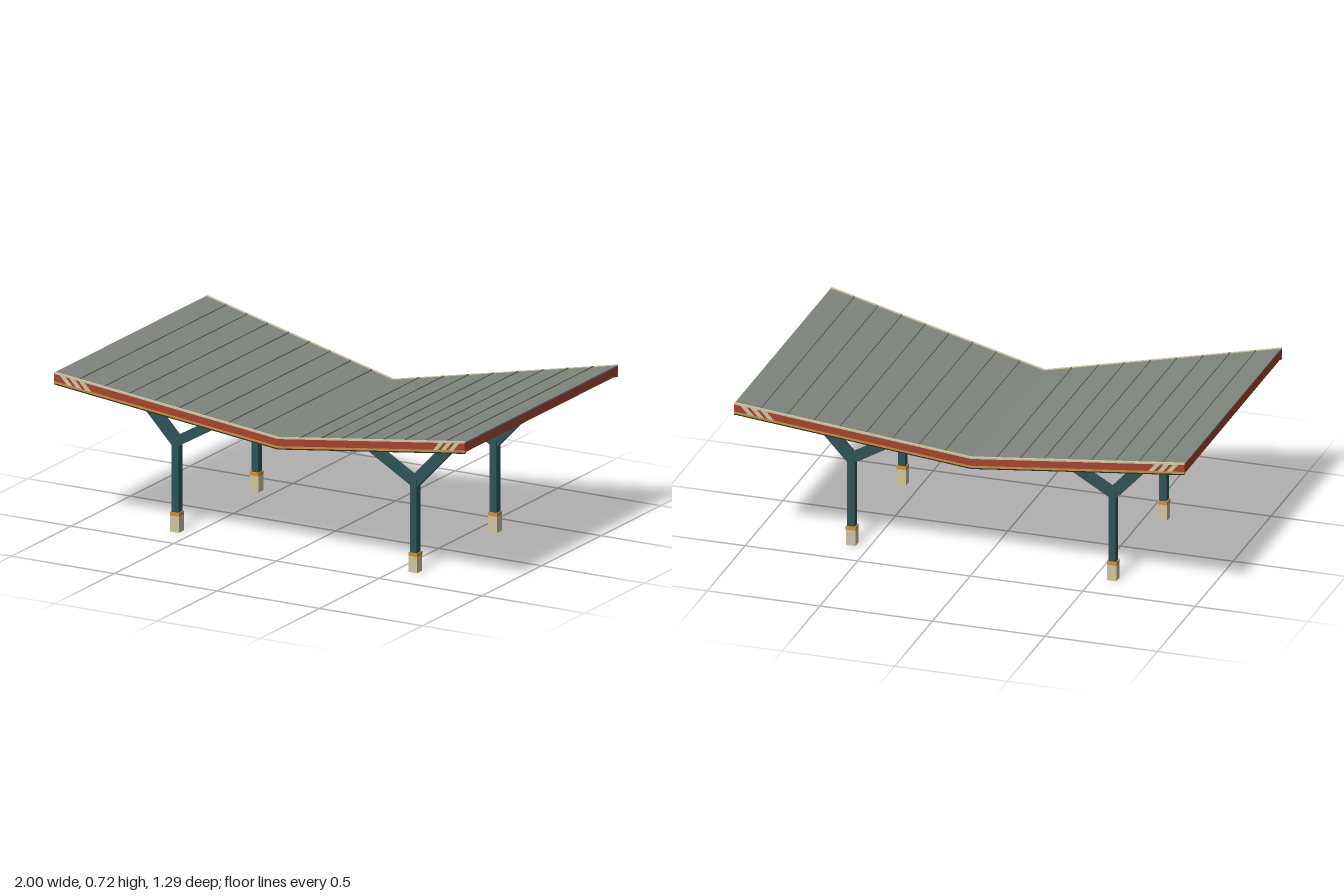
import * as THREE from 'three';

const mat = (name, color) => {
  const m = new THREE.MeshStandardMaterial({ color });
  m.name = name;
  return m;
};

export function createModel() {
  const roofGrey = mat('roofGrey', 0x7f867d);
  const soffitCream = mat('soffitCream', 0xcbc09f);
  const red = mat('fasciaRed', 0xa5442f);
  const cream = mat('cream', 0xcfc5a3);
  const gold = mat('gold', 0xcc9136);
  const teal = mat('steelTeal', 0x2f5356);
  const dark = mat('dripDark', 0x1c2e2f);
  const bowGrey = mat('bowGrey', 0x6b726d);

  const model = new THREE.Group();
  model.name = 'canopy';

  const SLOPE = 0.175;                       // rise of each wing
  const edge = (u) => 0.49 + 0.155 * u;      // half depth at distance u from the valley

  const add = (parent, name, geometry, material, x = 0, y = 0, z = 0) => {
    const mesh = new THREE.Mesh(geometry, material);
    mesh.name = name;
    mesh.position.set(x, y, z);
    parent.add(mesh);
    return mesh;
  };
  const box = (parent, name, material, w, h, d, x, y, z) =>
    add(parent, name, new THREE.BoxGeometry(w, h, d), material, x, y, z);

  // Six-sided solid from 8 corners, corner index = 4*i + 2*j + k; faces always turned outwards
  function hexa(c) {
    const quads = [[0, 1, 3, 2], [4, 6, 7, 5], [0, 4, 5, 1], [2, 3, 7, 6], [0, 2, 6, 4], [1, 5, 7, 3]];
    const [a, b, d, e] = [c[0], c[4], c[2], c[1]];
    const flip = b.clone().sub(a).cross(d.clone().sub(a)).dot(e.clone().sub(a)) < 0;
    const pos = [];
    for (const q of quads) {
      const r = flip ? [...q].reverse() : q;
      for (const n of [r[0], r[1], r[2], r[0], r[2], r[3]]) pos.push(...c[n].toArray());
    }
    const g = new THREE.BufferGeometry();
    g.setAttribute('position', new THREE.Float32BufferAttribute(pos, 3));
    g.computeVertexNormals();
    return g;
  }

  // Slab following the wing slope; z0 and z1 are functions of u, lean shifts the top edge outwards
  function slab(side, u0, u1, y0, y1, z0, z1, lean = 0) {
    const c = [];
    for (const u of [u0, u1]) for (const y of [y0, y1]) for (const z of [z0, z1]) {
      const v = y === y1 ? u + lean : u;
      c.push(new THREE.Vector3(side * v, y + SLOPE * v, z(v)));
    }
    return hexa(c);
  }

  // Square bar between two points in an x-y plane
  function bar(parent, name, material, x0, y0, x1, y1, thick, depth) {
    const len = Math.hypot(x1 - x0, y1 - y0);
    const m = box(parent, name, material, len, thick, depth, (x0 + x1) / 2, (y0 + y1) / 2, 0);
    m.rotation.z = Math.atan2(y1 - y0, x1 - x0);
  }

  function makeWing(side) {
    const wing = new THREE.Group();
    wing.name = side > 0 ? 'leftWing' : 'rightWing';
    model.add(wing);
    const inner = (u) => edge(u) - 0.012;
    const back = (u) => -inner(u);

    add(wing, 'soffit', slab(side, 0, 0.99, 0.506, 0.533, back, inner), soffitCream);
    add(wing, 'roofDeck', slab(side, 0, 1, 0.533, 0.539, back, inner), roofGrey);
    add(wing, 'endFascia', slab(side, 0.99, 1, 0.494, 0.533, back, inner), red);

    // Standing seams across the deck
    for (let i = 0; i < 8; i++) {
      const u = 0.115 + i * 0.111;
      add(wing, 'roofSeam', slab(side, u - 0.003, u + 0.003, 0.539, 0.544, back, inner), roofGrey);
    }

    // Layered fascia on the front and back edges
    const layers = [
      ['dripEdge', dark, 0.488, 0.493],
      ['goldStrip', gold, 0.493, 0.503],
      ['fascia', red, 0.503, 0.534],
      ['topTrim', cream, 0.534, 0.541],
    ];
    for (const s of [1, -1]) {
      for (const [name, m, y0, y1] of layers) {
        add(wing, name, slab(side, 0, 1, y0, y1, (u) => s * inner(u), (u) => s * edge(u)), m);
      }
      for (let i = 0; i < 3; i++) {
        const u = 0.832 + i * 0.042;
        add(wing, 'warningStripe', slab(side, u, u + 0.025, 0.503, 0.534,
          (v) => s * (edge(v) - 0.002), (v) => s * (edge(v) + 0.002), 0.03), cream);
      }
    }

    // Light fittings under the wing
    for (const u of [0.31, 0.845]) {
      add(wing, 'lightFitting',
        slab(side, u - 0.014, u + 0.014, 0.491, 0.507, () => -0.103, () => 0.103), teal);
    }
  }

  function makeFrame(side, z) {
    const frame = new THREE.Group();
    frame.name = 'supportFrame';
    frame.position.z = z;
    model.add(frame);
    const x = side * 0.58;

    box(frame, 'footing', cream, 0.042, 0.071, 0.042, x, 0.0355, 0);
    box(frame, 'footingCollar', gold, 0.043, 0.015, 0.043, x, 0.0785, 0);
    box(frame, 'column', teal, 0.033, 0.325, 0.033, x, 0.2475, 0);
    bar(frame, 'outerArm', teal, x, 0.395, side * 0.81, 0.64, 0.05, 0.027);
    bar(frame, 'innerArm', teal, x, 0.395, side * 0.31, 0.552, 0.043, 0.027);

    // Bowed beam under the roof, deepest over the column
    const yAt = (u) => 0.507 + SLOPE * u;
    const shape = new THREE.Shape();
    shape.moveTo(side * 0.13, yAt(0.13));
    shape.lineTo(side * 0.13, yAt(0.13) - 0.008);
    shape.quadraticCurveTo(side * 0.56, yAt(0.56) - 0.058, side * 0.95, yAt(0.95) - 0.008);
    shape.lineTo(side * 0.95, yAt(0.95));
    shape.closePath();
    add(frame, 'bowedBeam', new THREE.ExtrudeGeometry(shape,
      { depth: 0.026, bevelEnabled: false, curveSegments: 12 }), bowGrey, 0, 0, -0.013);
  }

  for (const side of [1, -1]) {
    makeWing(side);
    for (const z of [0.335, -0.335]) makeFrame(side, z);
  }
  return model;
}
